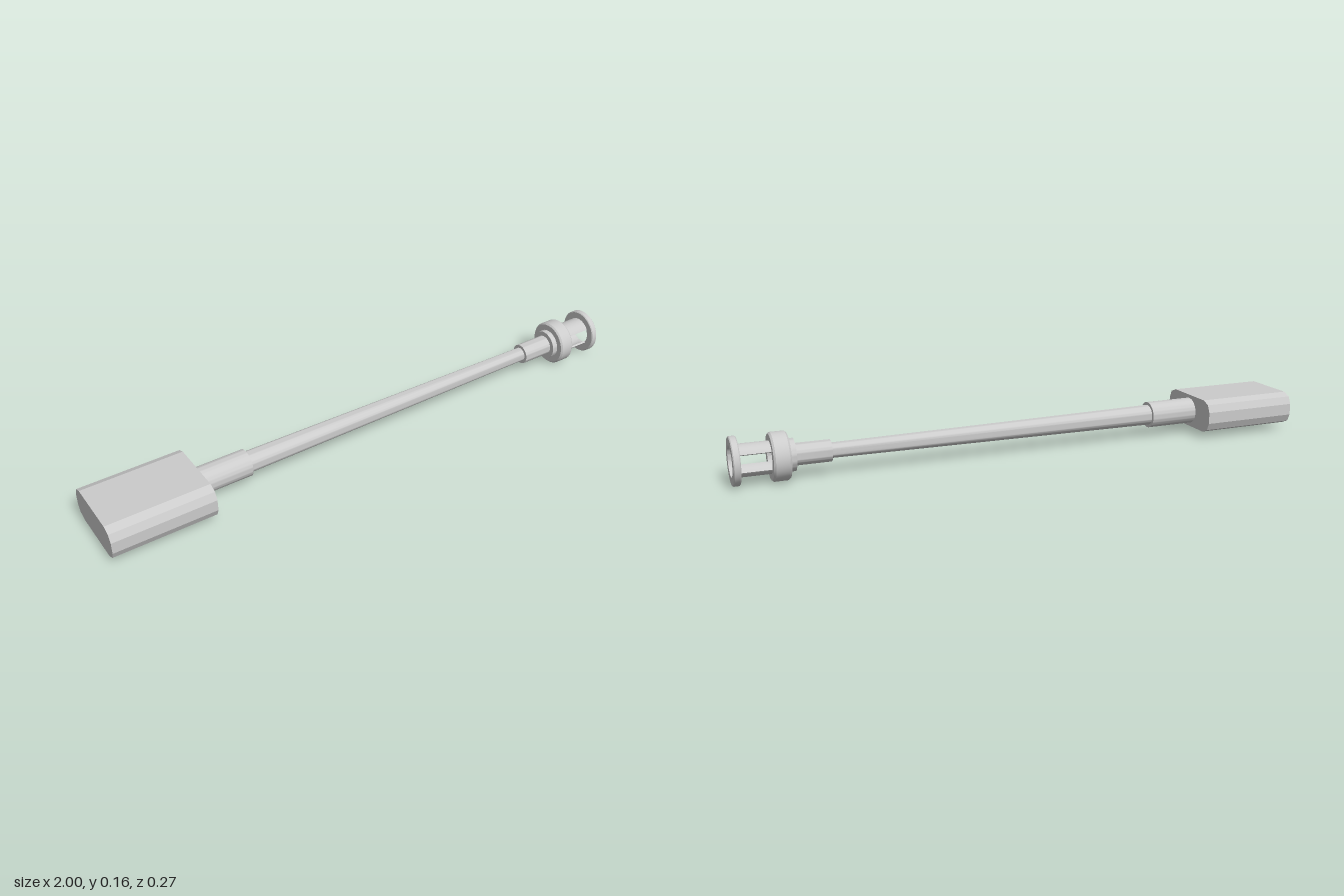
import * as THREE from 'three';
import { toCreasedNormals } from 'three/addons/utils/BufferGeometryUtils.js';

const AXIS_Y = 0.08; // height of the cable axis

export function createModel() {
  const group = new THREE.Group();
  const material = new THREE.MeshStandardMaterial({ color: 0xcccccc });

  function add(name, geometry) {
    const mesh = new THREE.Mesh(geometry, material);
    mesh.name = name;
    mesh.position.y = AXIS_Y;
    group.add(mesh);
    return mesh;
  }

  // Turned part along x, profile given as [x, radius] pairs
  function turned(name, profile) {
    const points = profile.map(([x, r]) => new THREE.Vector2(r, x));
    const geometry = new THREE.LatheGeometry(points, 48).rotateZ(-Math.PI / 2);
    return add(name, toCreasedNormals(geometry, Math.PI / 6));
  }

  // Shape extruded along x between two positions
  function extruded(name, shape, x0, x1) {
    const geometry = new THREE.ExtrudeGeometry(shape, { depth: x1 - x0, bevelEnabled: false, curveSegments: 20 });
    return add(name, geometry.rotateY(Math.PI / 2).translate(x0, 0, 0));
  }

  // Plug housing with faceted rounded sides
  const corner = [[0.137, 0.02], [0.125, 0.046], [0.097, 0.058]];
  const half = [...corner, ...corner.map(([z, y]) => [-z, y]).reverse()];
  const outline = [...half, ...half.map(([z, y]) => [-z, -y])];
  const section = new THREE.Shape(outline.map(([z, y]) => new THREE.Vector2(z, y)));
  extruded('plugHousing', section, -1, -0.65);

  // Strain relief, tapering cable and crimp sleeve
  turned('strainRelief', [[-0.66, 0], [-0.66, 0.046], [-0.475, 0.046], [-0.475, 0]]);
  turned('cable', [[-0.48, 0], [-0.48, 0.036], [0.69, 0.025], [0.69, 0]]);
  turned('crimpSleeve', [[0.685, 0], [0.685, 0.036], [0.81, 0.036], [0.81, 0]]);

  // Connector collar with a stepped bore
  turned('connectorCollar', [
    [0.802, 0], [0.802, 0.053], [0.822, 0.053], [0.822, 0.074], [0.828, 0.079],
    [0.872, 0.079], [0.878, 0.074], [0.878, 0.046], [0.845, 0.046], [0.845, 0.031],
    [0.82, 0.031], [0.82, 0],
  ]);

  // Two curved arms, above and below the side windows
  const reach = 1.0;
  const arm = new THREE.Shape();
  arm.absarc(0, 0, 0.053, Math.PI / 2 - reach, Math.PI / 2 + reach, false);
  arm.absarc(0, 0, 0.046, Math.PI / 2 + reach, Math.PI / 2 - reach, true);
  arm.closePath();
  extruded('upperArm', arm, 0.87, 0.985);
  extruded('lowerArm', arm, 0.87, 0.985).rotation.x = Math.PI;

  // Open ring at the connector mouth
  turned('mouthRing', [
    [0.977, 0.05], [0.977, 0.076], [0.98, 0.079], [0.997, 0.079], [1, 0.076], [1, 0.05], [0.977, 0.05],
  ]);

  return group;
}
